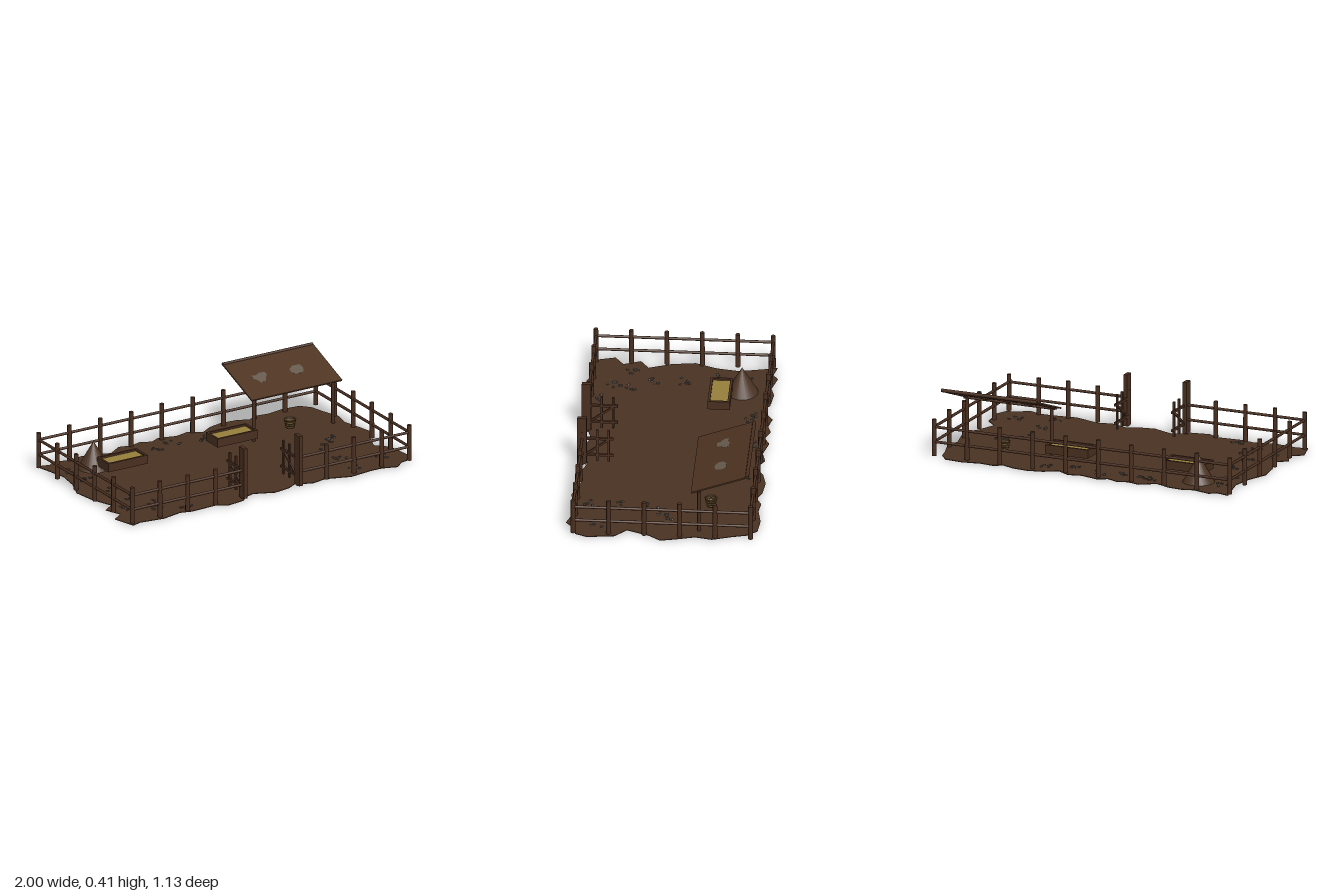
import * as THREE from 'three';

const mat = (name, color, side = THREE.FrontSide) => {
  const m = new THREE.MeshStandardMaterial({ color, side });
  m.name = name;
  return m;
};

export function createModel() {
  const root = new THREE.Group();
  root.name = 'paddock';
  const wood = mat('fence wood', 0x4a2f20);
  const earth = mat('earth', 0x4a3222);
  const plank = mat('roof planks', 0x4d3321);
  const hay = mat('hay', 0x96803c);
  const heap = mat('dung heap', 0x4c3423);
  const stone = mat('stone', 0x4e4b46);
  const patch = mat('roof patch', 0x665a4d);
  const darkWood = mat('bucket wood', 0x3a2619, THREE.DoubleSide);

  const add = (parent, name, geo, m, x = 0, y = 0, z = 0) => {
    const mesh = new THREE.Mesh(geo, m);
    mesh.name = name;
    mesh.position.set(x, y, z);
    parent.add(mesh);
    return mesh;
  };
  const group = (name, parent = root) => {
    const g = new THREE.Group();
    g.name = name;
    parent.add(g);
    return g;
  };
  const box = (p, name, w, h, d, m, x, y, z) => add(p, name, new THREE.BoxGeometry(w, h, d), m, x, y, z);
  // Round bar between two points
  const bar = (p, name, a, b, r, m = wood, sides = 8) => {
    const A = new THREE.Vector3(...a), B = new THREE.Vector3(...b), d = B.clone().sub(A);
    const mesh = add(p, name, new THREE.CylinderGeometry(r, r, d.length(), sides), m);
    mesh.position.copy(A).add(B).multiplyScalar(0.5);
    mesh.quaternion.setFromUnitVectors(new THREE.Vector3(0, 1, 0), d.normalize());
    return mesh;
  };
  let seed = 11;
  const rand = () => (seed = (seed * 16807) % 2147483647) / 2147483647;
  const extrude = (pts, depth) => new THREE.ExtrudeGeometry(
    new THREE.Shape(pts.map(([x, z]) => new THREE.Vector2(x, -z))), { depth, bevelEnabled: false }
  ).rotateX(-Math.PI / 2);

  // Trampled ground with a ragged edge
  const edge = [
    [-.95, -.55], [-.87, -.53], [-.83, -.56], [-.72, -.53], [-.65, -.55], [-.56, -.54], [-.47, -.5], [-.38, -.56],
    [-.3, -.54], [-.24, -.56], [-.17, -.53], [-.11, -.56], [0, -.53], [.08, -.55], [.16, -.5], [.24, -.55],
    [.33, -.57], [.43, -.56], [.5, -.53], [.56, -.56], [.64, -.55], [.75, -.57], [.86, -.56], [.91, -.5],
    [.93, -.42], [.97, -.3], [.95, -.2], [.98, -.09], [1, 0], [.95, .07], [.9, .2], [.97, .27], [.99, .43], [.96, .5],
    [.9, .51], [.84, .56], [.75, .53], [.68, .53], [.53, .55], [.38, .5], [.29, .52], [.18, .48], [.13, .51],
    [.02, .53], [-.1, .48], [-.17, .5], [-.2, .54], [-.32, .56], [-.38, .52], [-.55, .53], [-.62, .51], [-.75, .54],
    [-.9, .52], [-.96, .54], [-1, .4], [-.93, .35], [-.97, .25], [-.9, .2], [-.95, .07], [-.97, -.07], [-.92, -.2],
    [-.9, -.33], [-.93, -.47],
  ];
  add(root, 'ground', extrude(edge, 0.004), earth);

  // Fence: evenly spaced posts and two rails per run
  const fence = group('fence');
  const X = 0.95, ZB = -0.525, ZF = 0.512, GATE = 0.19;
  const run = (name, [x0, z0], [x1, z1], n, first = 0, last = n) => {
    const g = group(name, fence);
    for (let i = first; i <= last; i++) {
      const t = i / n, h = 0.218 + 0.008 * rand();
      add(g, 'fencePost', new THREE.CylinderGeometry(0.0135, 0.0145, h, 8), wood,
        x0 + (x1 - x0) * t, 0.006 + h / 2, z0 + (z1 - z0) * t);
    }
    for (const y of [0.09, 0.18]) bar(g, 'fenceRail', [x0, y, z0], [x1, y, z1], 0.0085);
  };
  run('backFence', [-X, ZB], [X, ZB], 9);
  for (const s of [-1, 1]) {
    run(s > 0 ? 'leftFence' : 'rightFence', [s * X, ZB], [s * X, ZF], 5, 1, 5);
    run(s > 0 ? 'frontLeftFence' : 'frontRightFence', [s * X, ZF], [s * GATE, ZF], 4, 1, 4);
  }

  // Gate: tall plank posts with leaves swung inward
  for (const s of [-1, 1]) {
    const g = group(s > 0 ? 'leftGate' : 'rightGate');
    const x = s * 0.183;
    box(g, 'gatePost', 0.024, 0.312, 0.055, wood, s * GATE, 0.166, 0.513);
    for (const z of [0.358, 0.425]) box(g, 'gateUpright', 0.012, 0.21, 0.014, wood, x, 0.132, z);
    for (const y of [0.068, 0.178]) box(g, 'gateRail', 0.014, 0.014, 0.17, wood, x, y, 0.415);
    const brace = box(g, 'gateBrace', 0.01, 0.012, 0.19, wood, x, 0.128, 0.415);
    brace.rotation.x = 0.65;
  }

  // Lean-to shelter
  const shelter = group('shelter');
  for (const x of [0.335, 0.88]) bar(shelter, 'shelterPost', [x, 0.008, -0.22], [x, 0.292, -0.22], 0.011);
  bar(shelter, 'eaveBeam', [0.315, 0.286, -0.22], [0.9, 0.286, -0.22], 0.008);
  bar(shelter, 'ridgeBeam', [0.297, 0.4, -0.502], [0.913, 0.4, -0.502], 0.011);
  const roof = group('roof', shelter);
  roof.position.set(0.605, 0.341, -0.34);
  roof.rotation.x = 0.349;
  box(roof, 'roofSheet', 0.62, 0.009, 0.35, plank, 0, 0, 0);
  for (let i = 0; i < 5; i++) box(roof, 'rafter', 0.014, 0.008, 0.33, wood, -0.28 + i * 0.14, -0.007, 0);
  const blots = [
    [[-.05, -.03], [-.02, -.025], [.01, -.04], [.045, -.035], [.05, -.015], [.03, .01], [.01, .04], [-.025, .045],
      [-.03, .02], [-.05, 0]],
    [[-.04, -.015], [-.01, -.035], [.04, -.035], [.045, 0], [.03, .03], [-.01, .04], [-.035, .03], [-.045, .01]],
  ];
  blots.forEach((b, i) => add(roof, 'roofPatch', extrude(b, 0.0098), patch, [-0.15, 0.095][i], -0.0049, 0.005));

  // Feeding troughs filled with hay
  for (const [cx, w] of [[-0.55, 0.27], [0.2, 0.275]]) {
    const t = group('trough');
    t.position.set(cx, 0, -0.243);
    box(t, 'troughBase', w, 0.012, 0.13, wood, 0, 0.042, 0);
    for (const s of [-1, 1]) {
      box(t, 'troughSide', w, 0.052, 0.014, wood, 0, 0.063, s * 0.058);
      box(t, 'troughEnd', 0.014, 0.052, 0.104, wood, s * (w / 2 - 0.007), 0.063, 0);
    }
    box(t, 'troughHay', w - 0.028, 0.03, 0.102, hay, 0, 0.063, 0);
  }

  // Conical heap
  add(root, 'heap', new THREE.ConeGeometry(0.095, 0.165, 20), heap, -0.675, 0.0865, -0.362);

  // Slatted bucket with hoops
  const bucket = group('bucket');
  bucket.position.set(0.617, 0, -0.272);
  add(bucket, 'bucketWall', new THREE.CylinderGeometry(0.036, 0.026, 0.052, 12, 1, true), darkWood, 0, 0.044, 0);
  add(bucket, 'bucketBase', new THREE.CylinderGeometry(0.026, 0.026, 0.004, 12), darkWood, 0, 0.02, 0);
  for (let i = 0; i < 4; i++) {
    add(bucket, 'bucketHoop', new THREE.TorusGeometry(0.028 + i * 0.0028, 0.0022, 5, 16).rotateX(Math.PI / 2),
      hay, 0, 0.026 + i * 0.0145, 0);
  }

  // Clusters of small stones
  const stones = group('stones');
  const spots = [
    [-.83, -.37], [-.81, -.22], [-.77, -.02], [-.75, .16], [-.67, .28], [-.7, .39], [-.55, .45], [-.83, .29],
    [-.41, -.43], [-.33, -.44], [-.2, -.41], [-.08, -.44], [.1, -.42], [.25, -.45], [.68, 0], [.63, .12],
    [.63, .27], [.84, .39], [.74, -.02], [.61, .43],
  ];
  for (const [x, z] of spots) {
    for (let i = 0; i < 5; i++) {
      const m = add(stones, 'stone', new THREE.DodecahedronGeometry(1, 0), stone,
        x + (rand() - 0.5) * 0.08, 0.006, z + (rand() - 0.5) * 0.08);
      m.scale.set(0.006 + 0.007 * rand(), 0.004 + 0.004 * rand(), 0.006 + 0.006 * rand());
      m.rotation.y = rand() * 6.28;
    }
  }
  return root;
}
